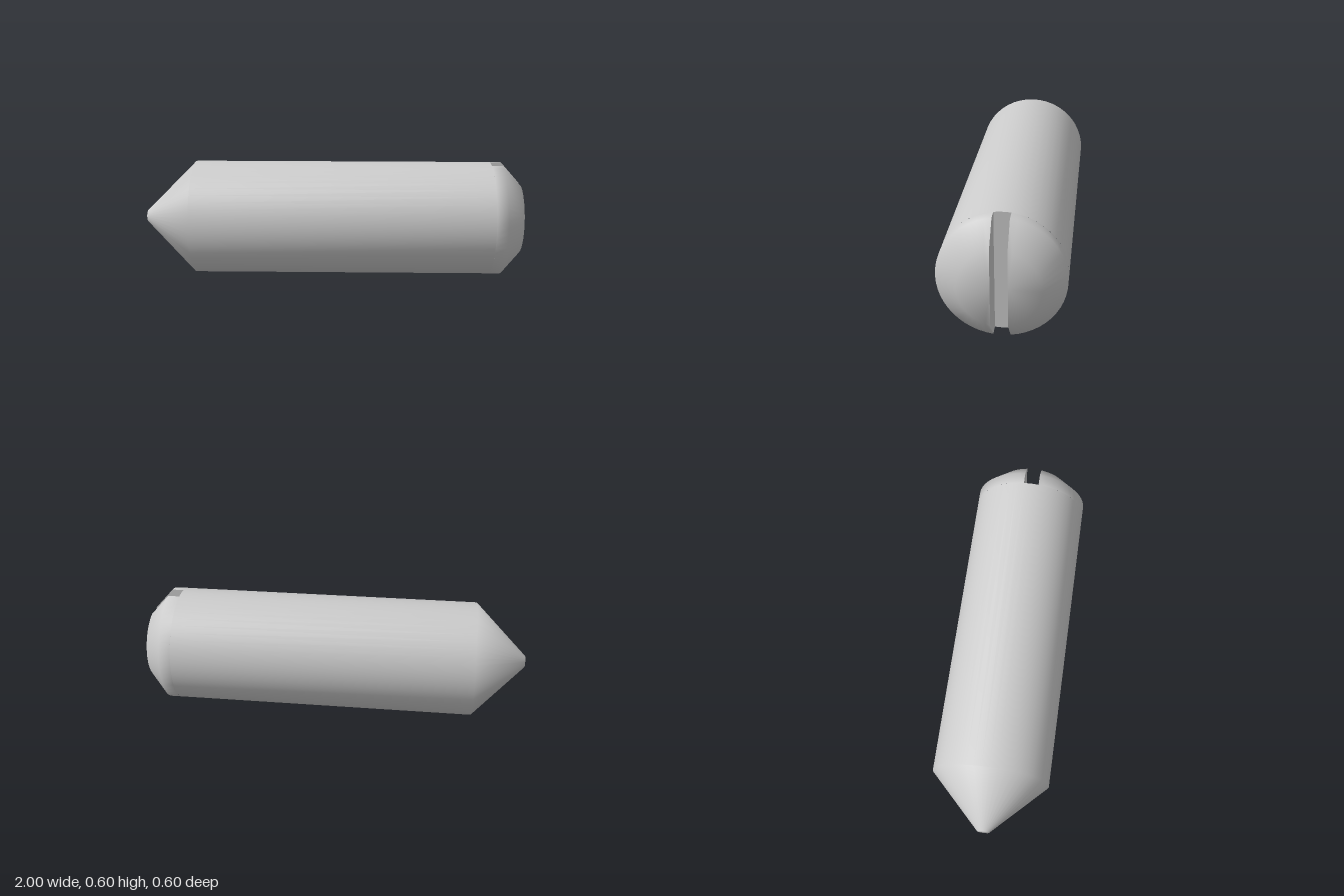
import * as THREE from 'three';
import { mergeVertices } from 'three/addons/utils/BufferGeometryUtils.js';

const R = 0.3, SLOT = 0.04, FLOOR = 0.84, SIDES = 48;
const material = new THREE.MeshStandardMaterial({ color: 0xcccccc });

function part(name, geometry) {
  const mesh = new THREE.Mesh(geometry, material);
  mesh.name = name;
  return mesh;
}

// Shank with a blunt cone point, turned about the x axis
function shankGeometry() {
  const profile = [[0, -1], [0.03, -1], [R, -0.73], [R, FLOOR]].map(p => new THREE.Vector2(...p));
  let geo = new THREE.LatheGeometry(profile, SIDES);
  geo.deleteAttribute('uv');
  geo.deleteAttribute('normal');
  geo = mergeVertices(geo, 1e-5);
  geo.computeVertexNormals();
  return geo.rotateZ(-Math.PI / 2);
}

// One side of the slotted head: [x, radius] sections cut off at the slot wall
const sections = [[FLOOR, R], [0.9, R], [1, 0.19]];

function headShellGeometry() {
  const n = SIDES / 2, pos = [], idx = [];
  for (const [x, r] of sections) {
    const a = Math.asin(SLOT / r);
    for (let j = 0; j <= n; j++) {
      const t = a + (Math.PI - 2 * a) * j / n;
      pos.push(x, r * Math.cos(t), r * Math.sin(t));
    }
  }
  pos.push(1, 0, SLOT);
  const centre = sections.length * (n + 1), last = centre - n - 1;
  for (let j = 0; j < n; j++) {
    for (let i = 0; i < sections.length - 1; i++) {
      const p = i * (n + 1) + j, q = p + n + 1;
      idx.push(p, p + 1, q, p + 1, q + 1, q);
    }
    idx.push(centre, last + j, last + j + 1);
  }
  const geo = new THREE.BufferGeometry();
  geo.setAttribute('position', new THREE.Float32BufferAttribute(pos, 3));
  geo.setIndex(idx);
  geo.computeVertexNormals();
  return geo;
}

// Flat wall of the slot
function slotWallGeometry() {
  const edge = sections.map(([x, r]) => new THREE.Vector2(x, Math.sqrt(r * r - SLOT * SLOT)));
  const mirrored = edge.map(p => new THREE.Vector2(p.x, -p.y));
  const geo = new THREE.ShapeGeometry(new THREE.Shape([...mirrored, ...edge.reverse()]));
  return geo.rotateX(Math.PI).translate(0, 0, SLOT);
}

// Floor strip of the slot with rounded ends
function slotFloorGeometry() {
  const a = Math.asin(SLOT / R), shape = new THREE.Shape();
  shape.absarc(0, 0, R, Math.PI / 2 - a, Math.PI / 2 + a);
  shape.absarc(0, 0, R, 1.5 * Math.PI - a, 1.5 * Math.PI + a);
  return new THREE.ShapeGeometry(shape, 4).rotateY(Math.PI / 2).translate(FLOOR, 0, 0);
}

export function createModel() {
  const screw = new THREE.Group();
  screw.name = 'slottedSetScrew';
  screw.position.y = R;
  screw.add(part('conePointShank', shankGeometry()), part('slotFloor', slotFloorGeometry()));

  // Two matching head halves either side of the slot
  const shell = headShellGeometry(), wall = slotWallGeometry();
  ['frontHeadHalf', 'backHeadHalf'].forEach((name, i) => {
    const half = new THREE.Group();
    half.name = name;
    half.rotation.x = i * Math.PI;
    half.add(part('headShell', shell), part('slotWall', wall));
    screw.add(half);
  });

  const model = new THREE.Group();
  model.name = 'setScrew';
  model.add(screw);
  return model;
}
